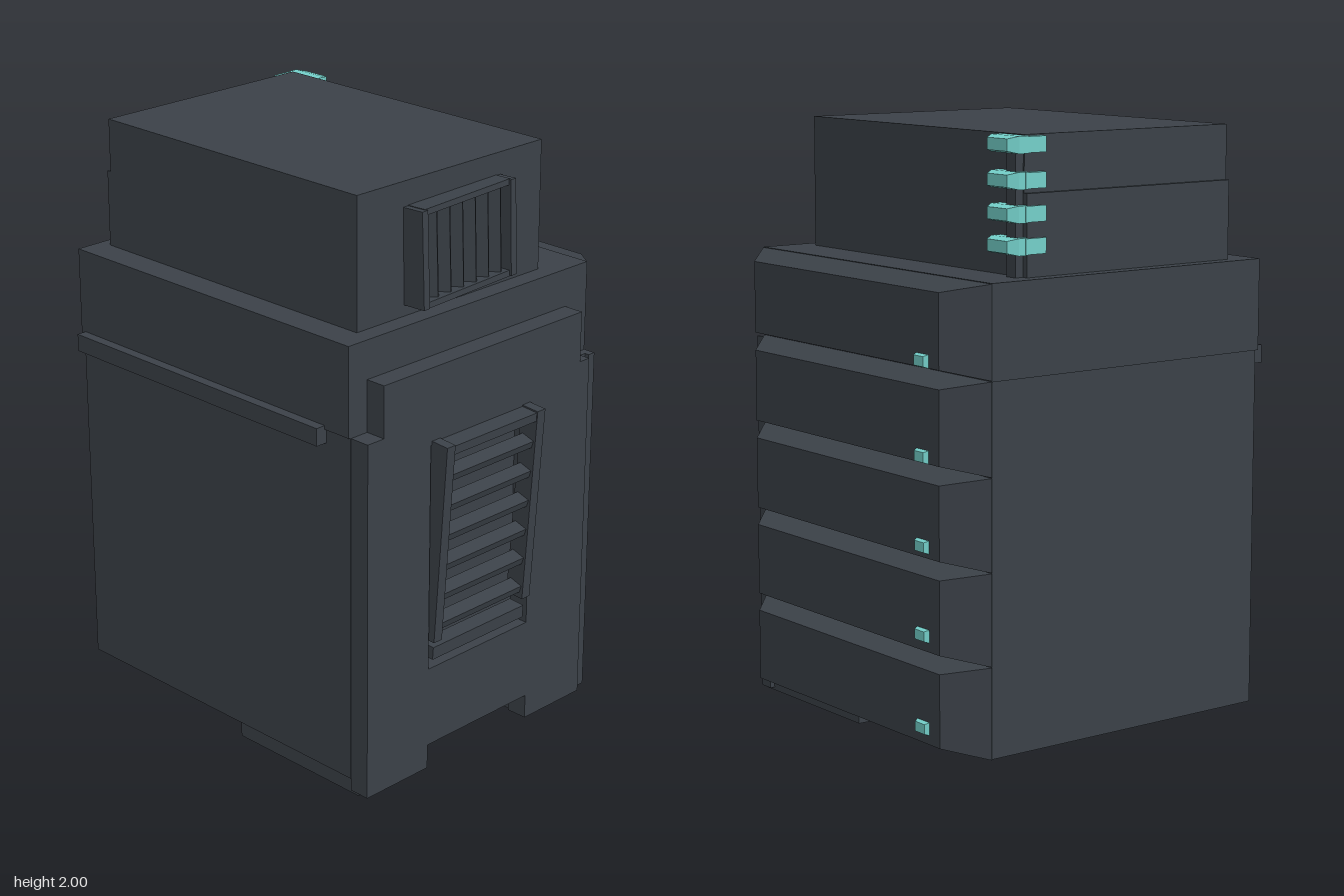
import * as THREE from 'three';

const dark = new THREE.MeshStandardMaterial({ color: 0x3b4148 });
dark.name = 'charcoal metal';
const teal = new THREE.MeshStandardMaterial({ color: 0x74d0ca });
teal.name = 'teal light';

export function createModel() {
  const root = new THREE.Group();
  root.name = 'equipmentCabinet';

  const add = (name, geo, mat = dark, parent = root) => {
    const mesh = new THREE.Mesh(geo, mat);
    mesh.name = name;
    parent.add(mesh);
    return mesh;
  };
  // box given by its limits on each axis
  const box = (name, [x0, x1], [y0, y1], [z0, z1], mat, parent) => {
    const g = new THREE.BoxGeometry(x1 - x0, y1 - y0, z1 - z0);
    g.translate((x0 + x1) / 2, (y0 + y1) / 2, (z0 + z1) / 2);
    return add(name, g, mat, parent);
  };
  // box whose +x face is inset by dy and dz
  const frustum = (name, [x0, x1], [y0, y1], [z0, z1], dy, dz, mat, parent) => {
    const g = new THREE.BoxGeometry(x1 - x0, y1 - y0, z1 - z0);
    const p = g.attributes.position;
    for (let i = 0; i < p.count; i++) {
      if (p.getX(i) > 0) {
        p.setY(i, p.getY(i) - Math.sign(p.getY(i)) * dy);
        p.setZ(i, p.getZ(i) - Math.sign(p.getZ(i)) * dz);
      }
    }
    g.computeVertexNormals();
    g.translate((x0 + x1) / 2, (y0 + y1) / 2, (z0 + z1) / 2);
    return add(name, g, mat, parent);
  };

  // main cabinet, upper part slightly proud of the lower
  box('lowerBody', [-0.593, 0.505], [0.06, 1.257], [-0.704, 0.57]);
  box('upperBody', [-0.6, 0.505], [1.257, 1.56], [-0.71, 0.57]);
  box('sideRail', [-0.635, -0.59], [1.21, 1.27], [-0.69, 0.465]);

  // five bevelled side drawers, each with a small light
  const lightY = [0.14, 0.44, 0.725, 1.01, 1.31];
  lightY.forEach((y, i) => {
    const y0 = 0.06 + i * 0.3;
    frustum('sideDrawer', [0.505, 0.618], [y0, y0 + 0.298], [-0.71, 0.57], 0.029, 0.12);
    frustum('drawerLight', [0.61, 0.633], [y - 0.024, y + 0.024], [-0.54, -0.467], 0.008, 0.012, teal);
  });

  // stepped front door with a bottom notch and a vent opening
  const door = new THREE.Shape();
  [[-0.59, 0.015], [-0.31, 0.015], [-0.31, 0.1], [0.17, 0.1], [0.17, 0.015], [0.445, 0.015],
    [0.445, 1.255], [0.4, 1.255], [0.4, 1.43], [-0.52, 1.43], [-0.52, 1.255], [-0.59, 1.255]]
    .forEach(([x, y], i) => (i ? door.lineTo(x, y) : door.moveTo(x, y)));
  door.closePath();
  const hole = new THREE.Path();
  hole.moveTo(-0.31, 0.38);
  hole.lineTo(-0.31, 1.17);
  hole.lineTo(0.165, 1.17);
  hole.lineTo(0.165, 0.38);
  hole.closePath();
  door.holes.push(hole);
  const doorGeo = new THREE.ExtrudeGeometry(door, { depth: 0.075, bevelEnabled: false });
  doorGeo.translate(0, 0, 0.568);
  add('frontDoor', doorGeo);

  // narrow strips beside the door
  box('innerStrip', [0.44, 0.478], [0.015, 1.25], [0.56, 0.597]);
  box('outerStrip', [0.478, 0.507], [0.01, 1.25], [0.56, 0.613]);

  // feet
  box('leftFoot', [0.2, 0.49], [0, 0.07], [0.04, 0.6]);
  box('rightFoot', [-0.585, -0.31], [0.004, 0.07], [0.04, 0.6]);

  // tilted louvre leaning out of the door at the top
  const louvre = new THREE.Group();
  louvre.name = 'doorLouvre';
  louvre.position.set(0, 0.38, 0.655);
  louvre.rotation.x = 0.068;
  root.add(louvre);
  box('louvreSide', [-0.305, -0.268], [0.1, 0.8], [-0.07, 0], dark, louvre);
  box('louvreSide', [0.118, 0.155], [0.11, 0.8], [-0.07, 0], dark, louvre);
  box('louvreTop', [-0.305, 0.155], [0.765, 0.795], [-0.07, -0.003], dark, louvre);
  box('louvreSill', [-0.295, 0.14], [0.03, 0.075], [-0.07, -0.01], dark, louvre);
  for (let i = 0; i < 6; i++) {
    const slat = box('louvreSlat', [-0.275, 0.125], [-0.013, 0.013], [-0.025, 0.025], dark, louvre);
    slat.position.set(0, 0.15 + i * 0.107, -0.035);
    slat.rotation.x = 0.25;
  }

  // top unit
  box('topUnit', [-0.5, 0.335], [1.55, 2], [-0.65, 0.505]);
  box('topUnitBackPlate', [-0.5, 0.335], [1.55, 1.82], [-0.665, -0.64]);
  box('clipPost', [0.33, 0.365], [1.55, 1.97], [-0.645, -0.6]);

  // corner clips wrapping the back edge
  [1.97, 1.86, 1.757, 1.657].forEach((y) => {
    const clip = new THREE.Group();
    clip.name = 'cornerClip';
    root.add(clip);
    box('clipBack', [0.265, 0.345], [y - 0.025, y + 0.025], [-0.672, -0.645], teal, clip);
    box('clipBase', [0.335, 0.37], [y - 0.027, y + 0.027], [-0.67, -0.53], teal, clip);
    frustum('clipFace', [0.37, 0.402], [y - 0.027, y + 0.027], [-0.67, -0.53], 0.008, 0.02, teal, clip);
  });

  // slightly crooked vent on the top unit's front
  const vent = new THREE.Group();
  vent.name = 'topVent';
  vent.position.set(-0.075, 1.762, 0.54);
  vent.rotation.set(-0.02, 0.03, 0.02);
  root.add(vent);
  for (const s of [-1, 1]) {
    box('ventSide', [s * 0.207 - 0.013, s * 0.207 + 0.013], [-0.16, 0.16], [-0.045, 0.04], dark, vent);
    box('ventRail', [-0.2, 0.2], [s * 0.152 - 0.01, s * 0.152 + 0.01], [-0.045, 0.033], dark, vent);
  }
  for (let i = 0; i < 6; i++) {
    const slat = box('ventSlat', [-0.006, 0.006], [-0.145, 0.145], [-0.035, 0.035], dark, vent);
    slat.position.set(-0.15 + i * 0.06, 0, -0.01);
    slat.rotation.y = 0.55;
  }

  return root;
}
